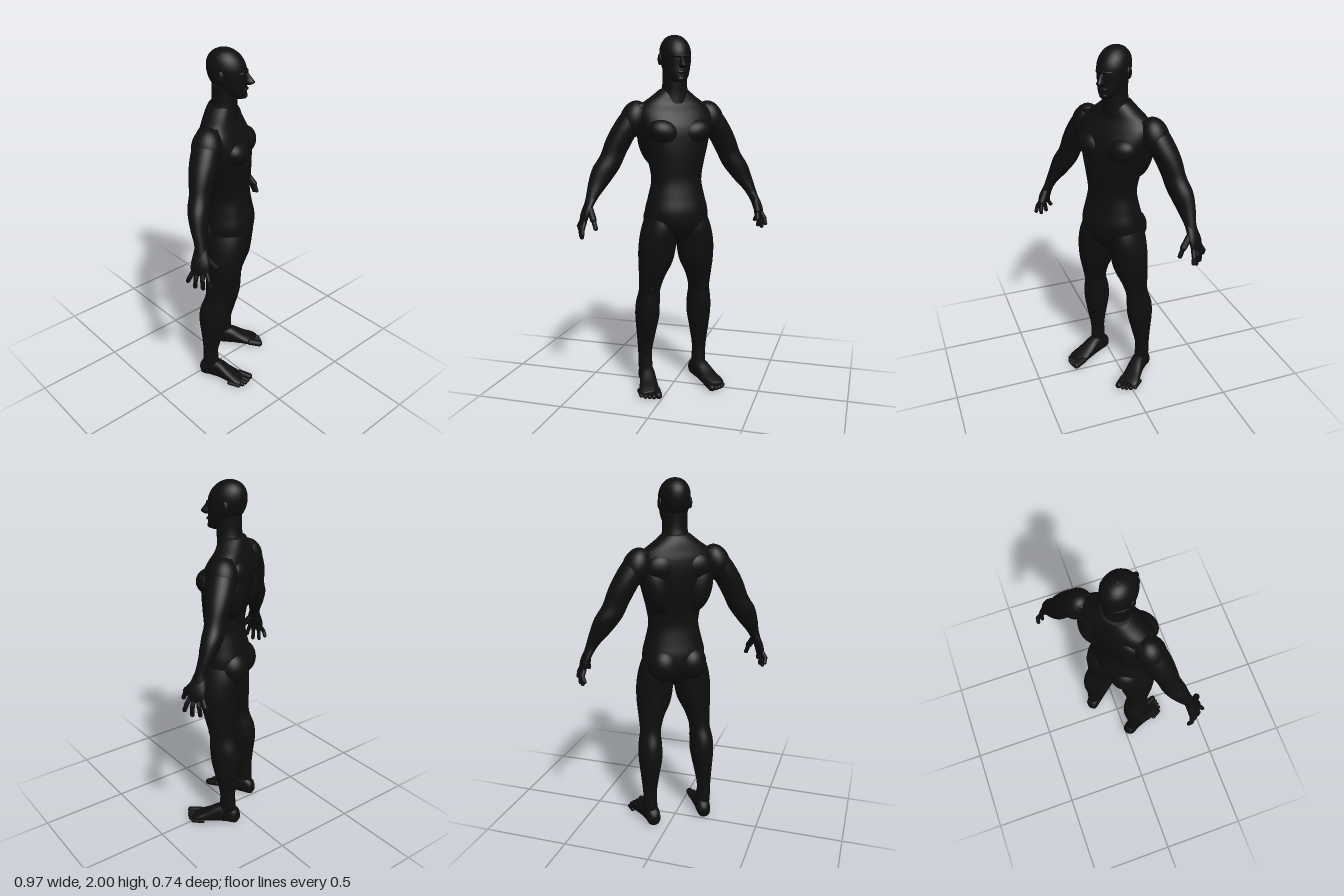
import * as THREE from 'three';

const skin = new THREE.MeshStandardMaterial({ color: 0x0e0e0e });
skin.name = 'black skin';

// Smooth body part from stations [t, cx, c, a, b] sorted along an axis.
// axis 'y': rings at height t, centre (cx, c = z). axis 'z': rings at depth t, centre (cx, c = y).
function loft(name, stations, axis = 'y', side = 1, power = 2) {
  const SEG = 32, SUB = 5, rows = [];
  const slope = (i, k) => {
    const p = stations[Math.max(i - 1, 0)], q = stations[Math.min(i + 1, stations.length - 1)];
    return (q[k] - p[k]) / (q[0] - p[0]);
  };
  for (let i = 0; i < stations.length - 1; i++) {
    const p = stations[i], q = stations[i + 1], h = q[0] - p[0];
    for (let s = 0; s < SUB + (i === stations.length - 2 ? 1 : 0); s++) {
      const u = s / SUB, u2 = u * u, u3 = u2 * u;
      rows.push([p[0] + h * u, ...[1, 2, 3, 4].map((k) =>
        (2 * u3 - 3 * u2 + 1) * p[k] + (u3 - 2 * u2 + u) * h * slope(i, k) +
        (3 * u2 - 2 * u3) * q[k] + (u3 - u2) * h * slope(i + 1, k))]);
    }
  }
  // closing rings
  const close = (r) => [r[0], r[1], r[2], 0.0005, 0.0005];
  rows.unshift(close(rows[0]));
  rows.push(close(rows[rows.length - 1]));

  const pos = [], idx = [];
  const bend = (v) => Math.sign(v) * Math.abs(v) ** (2 / power);
  rows.forEach(([t, cx, c, a, b], i) => {
    for (let j = 0; j < SEG; j++) {
      const w = (j / SEG) * Math.PI * 2;
      const x = side * cx + Math.max(a, 0.0005) * bend(Math.cos(w));
      const v = c + Math.max(b, 0.0005) * bend(Math.sin(w));
      if (axis === 'y') pos.push(x, t, v); else pos.push(x, v, t);
      if (i === rows.length - 1) continue;
      const k = (j + 1) % SEG, A = i * SEG + j, B = i * SEG + k, C = A + SEG, D = B + SEG;
      if (axis === 'y') idx.push(A, C, B, B, C, D); else idx.push(A, B, C, B, D, C);
    }
  });
  const geo = new THREE.BufferGeometry();
  geo.setAttribute('position', new THREE.Float32BufferAttribute(pos, 3));
  geo.setIndex(idx);
  geo.computeVertexNormals();
  const mesh = new THREE.Mesh(geo, skin);
  mesh.name = name;
  return mesh;
}

// Rounded muscle or feature
function blob(name, [x, y, z], [rx, ry, rz], tilt = 0) {
  const mesh = new THREE.Mesh(new THREE.SphereGeometry(1, 28, 20), skin);
  mesh.name = name;
  mesh.position.set(x, y, z);
  mesh.scale.set(rx, ry, rz);
  mesh.rotation.z = tilt;
  return mesh;
}

// Finger or toe segment between two points
function digit(name, p, q, r, side) {
  const a = new THREE.Vector3(side * p[0], p[1], p[2]), b = new THREE.Vector3(side * q[0], q[1], q[2]);
  const d = b.clone().sub(a);
  const mesh = new THREE.Mesh(new THREE.CapsuleGeometry(r, d.length(), 6, 12), skin);
  mesh.name = name;
  mesh.position.copy(a).add(b).multiplyScalar(0.5);
  mesh.quaternion.setFromUnitVectors(new THREE.Vector3(0, 1, 0), d.normalize());
  return mesh;
}

export function createModel() {
  const model = new THREE.Group();
  model.name = 'standing man';

  // Torso, neck and head
  model.add(
    loft('torso', [
      [0.85, 0, 0.03, 0.025, 0.05], [0.9, 0, 0.03, 0.11, 0.1], [0.96, 0, 0.032, 0.168, 0.132],
      [1.04, 0, 0.035, 0.178, 0.138], [1.12, 0, 0.036, 0.16, 0.122], [1.21, 0, 0.036, 0.142, 0.108],
      [1.3, 0, 0.033, 0.155, 0.115], [1.4, 0, 0.022, 0.182, 0.128], [1.5, 0, 0.012, 0.205, 0.13],
      [1.58, 0, -0.005, 0.212, 0.11], [1.63, 0, -0.015, 0.18, 0.088], [1.67, 0, -0.015, 0.125, 0.078],
      [1.71, 0, -0.012, 0.075, 0.065],
    ], 'y', 1, 2.2),
    loft('neck', [
      [1.6, 0, -0.005, 0.1, 0.08], [1.68, 0, 0.0, 0.078, 0.072], [1.74, 0, 0.008, 0.068, 0.068],
      [1.82, 0, 0.01, 0.068, 0.07],
    ]),
    loft('head', [
      [1.742, 0, 0.085, 0.02, 0.02], [1.76, 0, 0.07, 0.045, 0.052], [1.79, 0, 0.047, 0.064, 0.077],
      [1.83, 0, 0.028, 0.076, 0.094], [1.87, 0, 0.02, 0.082, 0.103], [1.91, 0, 0.015, 0.084, 0.103],
      [1.95, 0, 0.009, 0.074, 0.089], [1.98, 0, 0.005, 0.052, 0.061], [1.995, 0, 0.004, 0.026, 0.03],
      [2, 0, 0.004, 0.001, 0.001],
    ]),
    blob('brow', [0, 1.882, 0.098], [0.055, 0.014, 0.032]),
    loft('nose', [
      [1.818, 0, 0.13, 0.012, 0.018], [1.83, 0, 0.138, 0.018, 0.027], [1.85, 0, 0.127, 0.012, 0.025],
      [1.88, 0, 0.113, 0.009, 0.016],
    ]),
    blob('lips', [0, 1.795, 0.118], [0.026, 0.01, 0.013]),
    blob('chin', [0, 1.76, 0.108], [0.026, 0.018, 0.02]),
  );

  for (const s of [1, -1]) {
    const tag = s > 0 ? 'left ' : 'right ';

    // Torso muscles and ear
    model.add(
      blob(tag + 'ear', [s * 0.084, 1.868, 0.005], [0.011, 0.032, 0.02]),
      blob(tag + 'chest muscle', [s * 0.088, 1.475, 0.085], [0.098, 0.072, 0.074], s * 0.25),
      blob(tag + 'back muscle', [s * 0.12, 1.43, -0.04], [0.078, 0.15, 0.078], s * -0.2),
      blob(tag + 'shoulder blade', [s * 0.1, 1.54, -0.07], [0.085, 0.075, 0.052]),
      blob(tag + 'buttock', [s * 0.08, 0.985, -0.035], [0.09, 0.1, 0.088]),
      blob(tag + 'shoulder', [s * 0.225, 1.545, -0.03], [0.076, 0.105, 0.08], s * 0.35),
    );

    // Arm
    model.add(loft(tag + 'arm', [
      [1.08, 0.495, 0.004, 0.026, 0.034], [1.13, 0.47, -0.002, 0.036, 0.032],
      [1.2, 0.43, -0.02, 0.058, 0.043], [1.28, 0.385, -0.032, 0.075, 0.056],
      [1.35, 0.345, -0.035, 0.07, 0.055], [1.43, 0.307, -0.036, 0.076, 0.066],
      [1.5, 0.268, -0.034, 0.078, 0.072], [1.58, 0.22, -0.03, 0.07, 0.066], [1.63, 0.19, -0.025, 0.04, 0.045],
    ], 'y', s));

    // Hand with fingers and thumb
    const hand = new THREE.Group();
    hand.name = tag + 'hand';
    hand.add(loft('palm', [
      [0.985, 0.527, 0.008, 0.014, 0.04], [1.01, 0.523, 0.008, 0.02, 0.049],
      [1.05, 0.51, 0.008, 0.024, 0.048], [1.1, 0.485, 0.004, 0.027, 0.036], [1.13, 0.47, 0, 0.025, 0.028],
    ], 'y', s));
    [[0.043, 0.066, 0.935], [0.02, 0.026, 0.912], [-0.004, -0.016, 0.914], [-0.027, -0.055, 0.94]]
      .forEach(([z0, z1, y], i) => {
        const mid = [0.54, 0.965, (z0 + z1) / 2 + (z1 - z0) * 0.1];
        hand.add(digit('finger base ' + (i + 1), [0.525, 1.0, z0], mid, 0.0125, s),
          digit('finger tip ' + (i + 1), mid, [0.543 - 0.004 * i, y, z1], 0.0115, s));
      });
    hand.add(digit('thumb base', [0.492, 1.065, 0.035], [0.485, 1.015, 0.078], 0.018, s),
      digit('thumb tip', [0.485, 1.015, 0.078], [0.477, 0.97, 0.096], 0.0125, s));
    model.add(hand);

    // Leg
    model.add(loft(tag + 'leg', [
      [0.05, 0.164, -0.035, 0.038, 0.045], [0.12, 0.166, -0.038, 0.04, 0.048],
      [0.2, 0.168, -0.038, 0.04, 0.045], [0.3, 0.164, -0.03, 0.052, 0.062],
      [0.42, 0.158, -0.022, 0.068, 0.084], [0.5, 0.156, -0.014, 0.067, 0.084],
      [0.58, 0.15, 0.002, 0.06, 0.072], [0.66, 0.14, 0.016, 0.073, 0.082],
      [0.75, 0.122, 0.028, 0.097, 0.1], [0.85, 0.112, 0.035, 0.106, 0.108],
      [0.95, 0.1, 0.036, 0.098, 0.115], [1.05, 0.085, 0.035, 0.075, 0.095],
    ], 'y', s),
    blob(tag + 'kneecap', [s * 0.152, 0.6, 0.045], [0.036, 0.045, 0.035]));

    // Foot with toes
    const foot = new THREE.Group();
    foot.name = tag + 'foot';
    foot.add(loft('sole and instep', [
      [-0.108, 0.156, 0.045, 0.012, 0.02], [-0.092, 0.157, 0.048, 0.036, 0.044],
      [-0.04, 0.161, 0.062, 0.042, 0.06], [0.02, 0.17, 0.058, 0.046, 0.055],
      [0.08, 0.183, 0.04, 0.053, 0.037], [0.135, 0.195, 0.027, 0.058, 0.024],
      [0.165, 0.198, 0.021, 0.046, 0.014],
    ], 'z', s, 2.4));
    [[0.16, 0.2, 0.02], [0.187, 0.196, 0.0135], [0.209, 0.188, 0.0125], [0.23, 0.175, 0.012], [0.247, 0.154, 0.0115]]
      .forEach(([x, z, r], i) => foot.add(
        digit('toe ' + (i + 1), [x - 0.008 + i * 0.001, r + 0.008, z - 0.06], [x, r + 0.001, z], r, s)));
    model.add(foot);
  }

  // The figure stands turned toward its left
  model.rotation.y = THREE.MathUtils.degToRad(35);
  const root = new THREE.Group();
  root.name = 'figure';
  root.add(model);
  return root;
}
